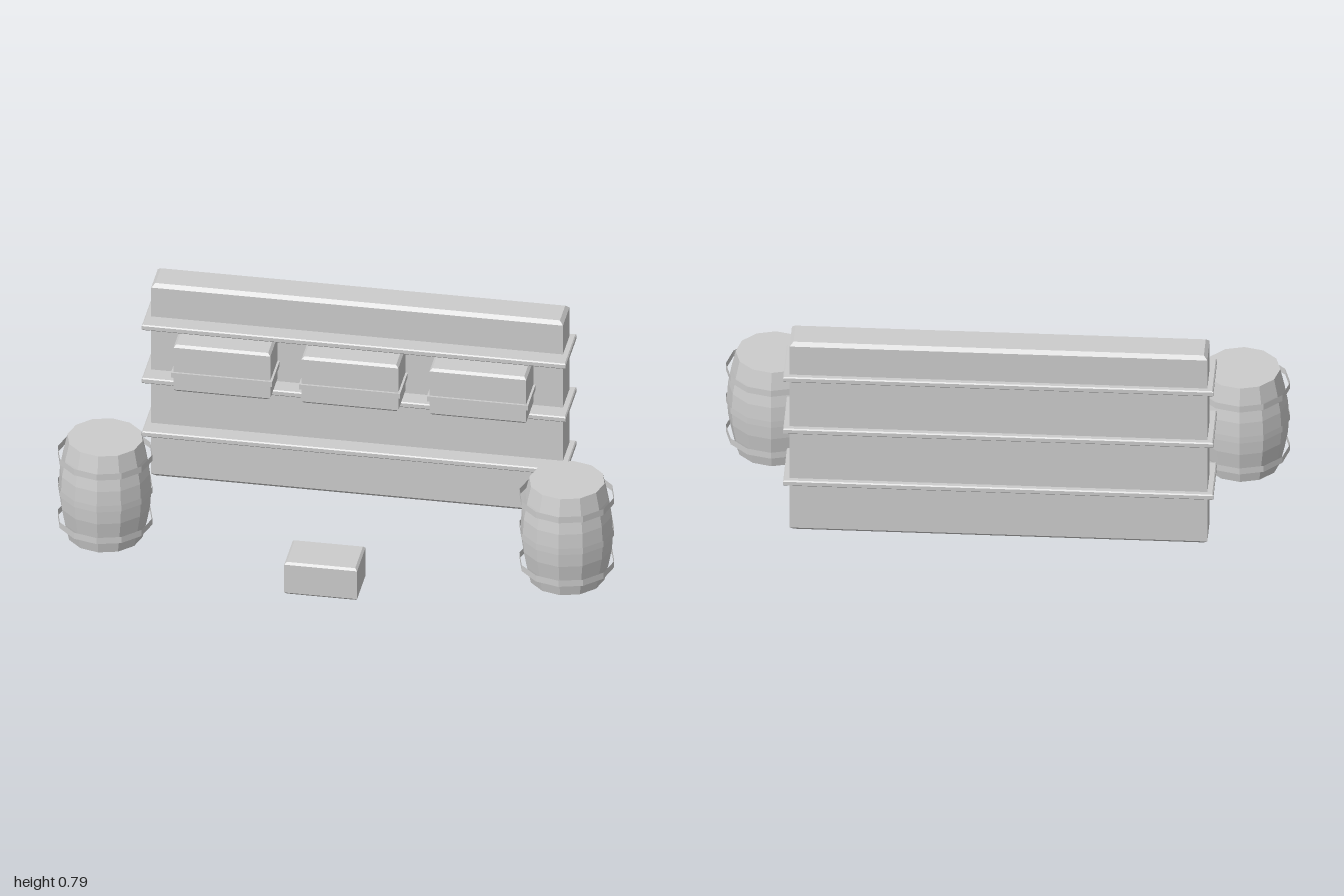
import * as THREE from 'three';

const material = new THREE.MeshStandardMaterial({ color: 0xcccccc, flatShading: true });
const hoopMaterial = new THREE.MeshStandardMaterial({ color: 0xcccccc, flatShading: true, side: THREE.DoubleSide });

function add(parent, name, geometry, mat = material) {
  const mesh = new THREE.Mesh(geometry, mat);
  mesh.name = name;
  parent.add(mesh);
  return mesh;
}

// Block standing on y = 0 with chamfered top and bottom rims and square upright edges.
function chamferedBlock(w, h, d, b) {
  const x = w / 2 - b, z = d / 2 - b;
  const shape = new THREE.Shape([[-x, -z], [x, -z], [x, z], [-x, z]].map(([u, v]) => new THREE.Vector2(u, v)));
  const geometry = new THREE.ExtrudeGeometry(shape, {
    depth: h - 2 * b, bevelThickness: b, bevelSize: b, bevelSegments: 1,
  });
  return geometry.rotateX(-Math.PI / 2).translate(0, b, 0);
}

function createBarrel() {
  const barrel = new THREE.Group();
  barrel.name = 'barrel';
  // Bulging staves with closed ends
  const profile = [
    [0, 0], [0.135, 0], [0.15, 0.066], [0.162, 0.131], [0.166, 0.197],
    [0.162, 0.263], [0.15, 0.328], [0.135, 0.394], [0, 0.394],
  ].map(([r, y]) => new THREE.Vector2(r, y));
  add(barrel, 'barrelBody', new THREE.LatheGeometry(profile, 12));
  // Thin open hoops
  for (const y of [0.067, 0.197, 0.328]) {
    add(barrel, 'barrelHoop', new THREE.CylinderGeometry(0.17, 0.17, 0.025, 12, 1, true), hoopMaterial).position.y = y;
  }
  return barrel;
}

export function createModel() {
  const model = new THREE.Group();
  model.name = 'storageShelf';

  // Upright back wall
  add(model, 'wall', chamferedBlock(1.48, 0.79, 0.13, 0.013)).position.z = -0.35;

  // Shelf boards wrapping the wall
  for (const y of [0.2, 0.419, 0.637]) {
    add(model, 'shelf', chamferedBlock(1.524, 0.022, 0.216, 0.004)).position.set(0, y, -0.327);
  }

  // Banded boxes on the middle shelf
  for (const x of [-0.46, 0, 0.46]) {
    const box = new THREE.Group();
    box.name = 'shelfBox';
    add(box, 'boxBody', chamferedBlock(0.348, 0.19, 0.17, 0.009));
    add(box, 'boxBand', new THREE.BoxGeometry(0.364, 0.02, 0.186)).position.y = 0.072;
    box.position.set(x, 0.443, -0.228);
    model.add(box);
  }

  // Small crate on the ground in front
  add(model, 'groundCrate', chamferedBlock(0.262, 0.13, 0.168, 0.008)).position.z = 0.351;

  // Barrels on both sides
  for (const side of [-1, 1]) {
    const barrel = createBarrel();
    barrel.position.set(side * 0.83, 0, 0.131);
    model.add(barrel);
  }
  return model;
}
